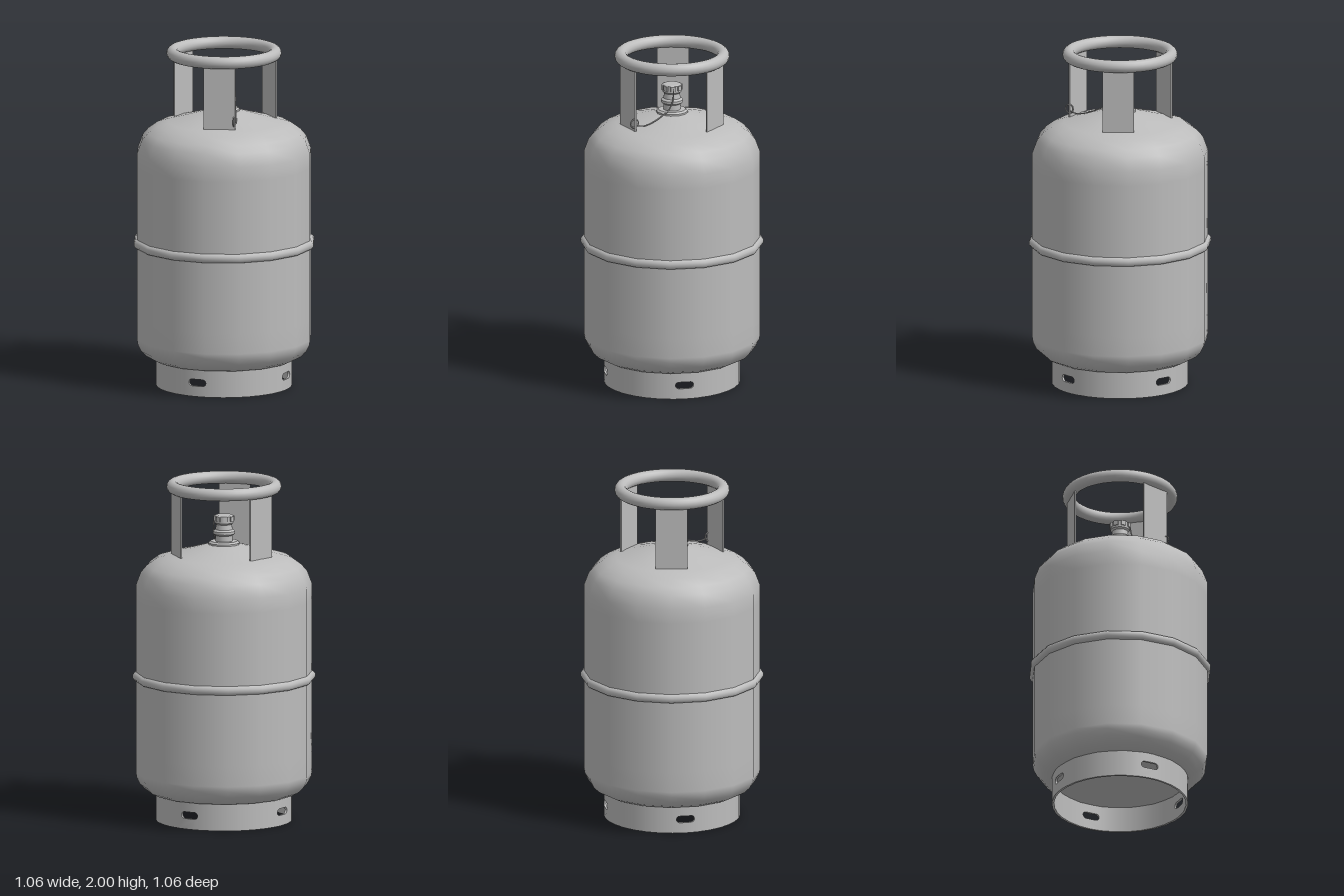
import * as THREE from 'three';
import { mergeGeometries } from 'three/addons/utils/BufferGeometryUtils.js';

const grey = new THREE.MeshStandardMaterial({ color: 0xbcbcbc });
grey.name = 'grey paint';

const DEG = Math.PI / 180;
const SHELL_TURN = 4.6 * DEG;
const v2 = (pairs) => pairs.map(([r, y]) => new THREE.Vector2(r, y));

// Revolved profile with smooth normals along the profile
const smoothLathe = (pairs, sides, start = 0, arc = Math.PI * 2) =>
  new THREE.LatheGeometry(v2(pairs), sides, start, arc);

// Revolved profile with a crisp edge at every profile point
const crispLathe = (pairs, sides, start = 0, arc = Math.PI * 2) =>
  mergeGeometries(pairs.slice(1).map((p, i) => smoothLathe([pairs[i], p], sides, start, arc)));

function add(parent, name, geometry) {
  const mesh = new THREE.Mesh(geometry, grey);
  mesh.name = name;
  parent.add(mesh);
  return mesh;
}

// Wraps a flat panel (x along the arc, z outward) round the y axis
function bend(geometry, radius) {
  const p = geometry.attributes.position, n = geometry.attributes.normal;
  for (let i = 0; i < p.count; i++) {
    const a = p.getX(i) / radius, r = radius + p.getZ(i);
    const s = Math.sin(a), c = Math.cos(a), nx = n.getX(i), nz = n.getZ(i);
    p.setXYZ(i, r * s, p.getY(i), r * c);
    n.setXYZ(i, nx * c + nz * s, n.getY(i), nz * c - nx * s);
  }
  return geometry;
}

function slottedPanel(radius, height, thickness, arc) {
  const half = radius * arc / 2, steps = 6, outline = [];
  for (let i = 0; i <= steps; i++) outline.push(new THREE.Vector2(-half + 2 * half * i / steps, 0));
  for (let i = steps; i >= 0; i--) outline.push(new THREE.Vector2(-half + 2 * half * i / steps, height));
  const shape = new THREE.Shape(outline);
  const slot = new THREE.Path();
  slot.moveTo(-0.032, 0.102);
  slot.absarc(-0.032, 0.082, 0.02, Math.PI / 2, Math.PI * 1.5, false);
  slot.lineTo(0, 0.062);
  slot.absarc(0.032, 0.082, 0.02, -Math.PI / 2, Math.PI / 2, false);
  slot.lineTo(0, 0.102);
  shape.holes.push(slot);
  return bend(new THREE.ExtrudeGeometry(shape, {
    depth: thickness, bevelEnabled: false, curveSegments: 6,
  }), radius);
}

function makeFootRing() {
  const foot = new THREE.Group();
  foot.name = 'footRing';
  const inner = 0.383, outer = 0.396, h = 0.165, arc = 22.5 * DEG;
  for (let k = 0; k < 4; k++) {
    const a = 16.5 * DEG + k * Math.PI / 2;
    add(foot, 'slottedPanel', slottedPanel(inner, h, outer - inner, arc)).rotation.y = a;
    add(foot, 'plainPanel', crispLathe(
      [[inner, h], [inner, 0], [outer, 0], [outer, h]], 6, a + arc / 2, Math.PI / 2 - arc));
  }
  return foot;
}

function makeValve() {
  const valve = new THREE.Group();
  valve.name = 'valve';
  add(valve, 'collar', crispLathe([[0.092, 1.6], [0.092, 1.632], [0.08, 1.642], [0, 1.642]], 12));
  add(valve, 'stem', crispLathe([
    [0.05, 1.635], [0.05, 1.675], [0.064, 1.685], [0.064, 1.7], [0.05, 1.71],
    [0.046, 1.74], [0.055, 1.75], [0.055, 1.79], [0.046, 1.795], [0, 1.795]], 20));
  // Grip ribs round the cap
  for (let i = 0; i < 8; i++) {
    const a = i * Math.PI / 4 + 0.2;
    const rib = add(valve, 'capRib', new THREE.BoxGeometry(0.026, 0.028, 0.01));
    rib.position.set(0.056 * Math.sin(a), 1.775, 0.056 * Math.cos(a));
    rib.rotation.y = a;
  }
  return valve;
}

export function createModel() {
  const model = new THREE.Group();
  model.name = 'gasCylinder';

  // Shell: two halves joined at a raised band
  add(model, 'lowerShell', smoothLathe([
    [0, 0.135], [0.2, 0.14], [0.38, 0.152], [0.415, 0.16], [0.455, 0.18], [0.488, 0.212],
    [0.507, 0.25], [0.512, 0.28], [0.512, 0.4], [0.512, 0.845]], 16, SHELL_TURN));
  add(model, 'upperShell', smoothLathe([
    [0.512, 0.845], [0.512, 1.3], [0.512, 1.385], [0.484, 1.46], [0.45, 1.5], [0.395, 1.54],
    [0.33, 1.56], [0.25, 1.58], [0.1, 1.622], [0, 1.63]], 16, SHELL_TURN));
  add(model, 'weldBand', smoothLathe([
    [0.508, 0.818], [0.522, 0.824], [0.531, 0.837], [0.531, 0.855], [0.522, 0.868],
    [0.508, 0.874]], 16, SHELL_TURN));

  model.add(makeFootRing(), makeValve());

  // Handle: three flat uprights carrying a round ring
  const handle = new THREE.Group();
  handle.name = 'handle';
  model.add(handle);
  for (let k = 0; k < 3; k++) {
    const a = (64.5 + 120 * k) * DEG;
    const upright = add(handle, 'handleUpright', new THREE.BoxGeometry(0.185, 0.39, 0.009));
    upright.position.set(0.29 * Math.sin(a), 1.763, 0.29 * Math.cos(a));
    upright.rotation.y = a;
  }
  const ring = add(handle, 'handleRing', new THREE.TorusGeometry(0.2975, 0.0365, 16, 48));
  ring.rotation.x = Math.PI / 2;
  ring.position.y = 1.9635;

  // Retaining cord from the valve cap to the edge of one upright
  const cordPath = new THREE.CatmullRomCurve3([
    [0.015, 1.78, 0.062], [0.014, 1.72, 0.075], [-0.01, 1.66, 0.095], [-0.05, 1.63, 0.13],
    [-0.1, 1.605, 0.175], [-0.145, 1.595, 0.212], [-0.185, 1.605, 0.238],
  ].map((p) => new THREE.Vector3(...p)));
  add(model, 'cord', new THREE.TubeGeometry(cordPath, 32, 0.004, 6));
  const loop = add(model, 'cordLoop', new THREE.TorusGeometry(0.026, 0.004, 6, 16));
  loop.position.set(-0.195, 1.615, 0.235);
  loop.rotation.y = 35 * DEG;

  return model;
}
